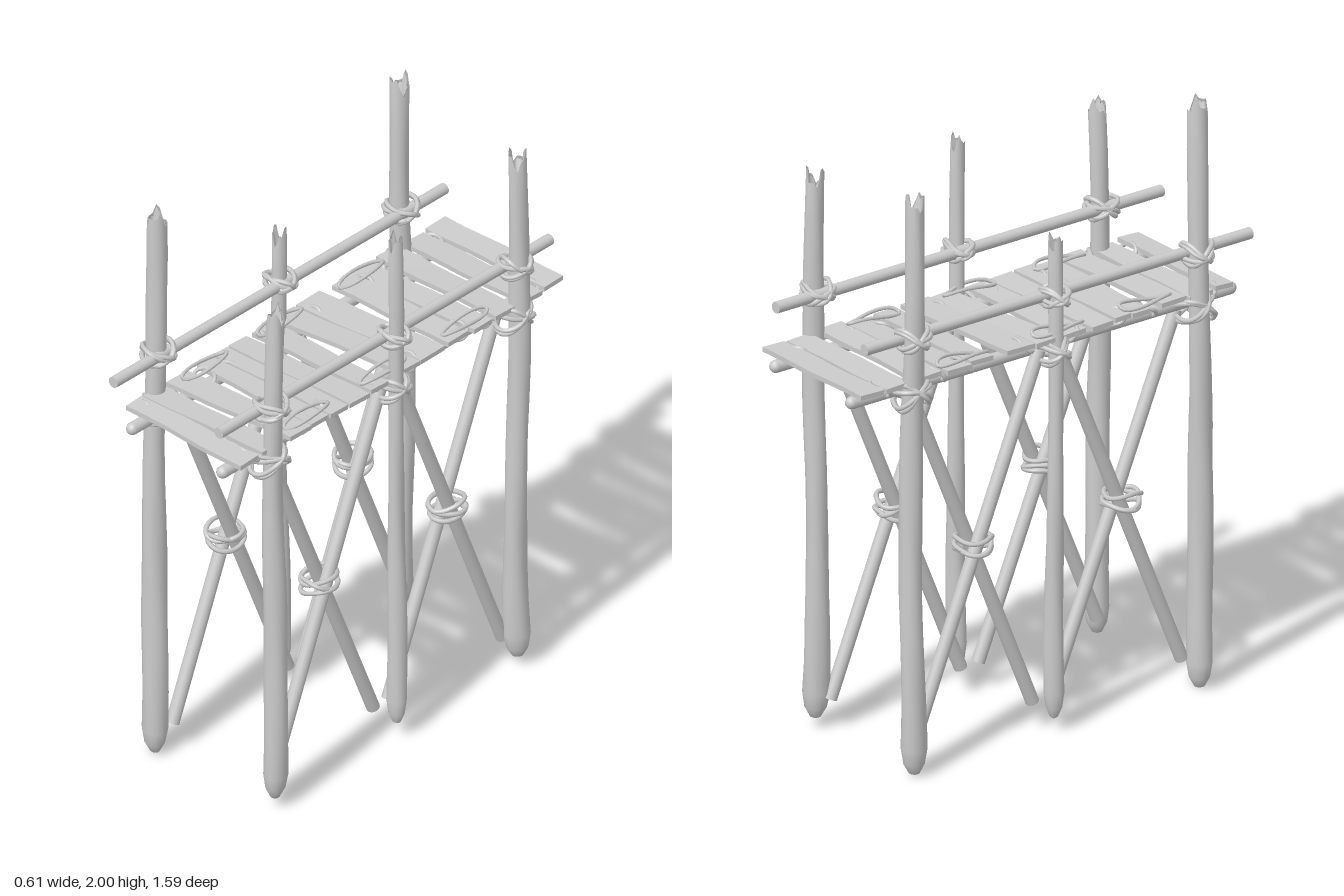
import * as THREE from 'three';
import { mergeVertices } from 'three/addons/utils/BufferGeometryUtils.js';

const wood = new THREE.MeshStandardMaterial({ color: 0xcccccc, roughness: 0.9 });
const woodThin = new THREE.MeshStandardMaterial({ color: 0xcccccc, roughness: 0.9, side: THREE.DoubleSide });
const V = (x, y, z) => new THREE.Vector3(x, y, z);

// small seeded generator
let seed = 7;
const rand = () => (seed = (seed * 16807) % 2147483647) / 2147483647;

export function createModel() {
  const model = new THREE.Group();
  const add = (name, geometry, material = wood) => {
    const mesh = new THREE.Mesh(geometry, material);
    mesh.name = name;
    model.add(mesh);
    return mesh;
  };

  // Rough trunk: rounded foot, slight wobble, splintered hollow top
  function post(name, x, z, y0, y1, r0, r1) {
    const h = y1 - y0, rim = h - 0.05, profile = [[0, 0], [r0 * 0.4, 0.008], [r0 * 0.8, 0.04], [r0, 0.09]];
    for (let i = 1; i <= 14; i++) {
      const t = i / 14;
      profile.push([r0 + (r1 - r0) * Math.pow(t, 0.7), 0.09 + (rim - 0.09) * t]);
    }
    profile.push([r1 * 0.72, rim - 0.008], [r1 * 0.45, rim - 0.05], [0, rim - 0.06]);
    let g = new THREE.LatheGeometry(profile.map(p => new THREE.Vector2(...p)), 16);
    g.deleteAttribute('uv');
    g.deleteAttribute('normal');
    g = mergeVertices(g, 1e-5);
    const p = g.attributes.position, k = rand() * 6;
    for (let i = 0; i < p.count; i++) {
      const px = p.getX(i), y = p.getY(i), pz = p.getZ(i), a = Math.atan2(pz, px);
      const bump = 1 + 0.06 * Math.sin(2 * a + y * 5 + k) + 0.04 * Math.sin(3 * a - y * 11 + k);
      const atRim = y > rim - 0.02 && Math.hypot(px, pz) > r1 * 0.6;
      const jag = atRim ? 0.015 + 0.025 * Math.sin(2 * a + k) + 0.015 * Math.sin(5 * a + k * 2) : 0;
      p.setXYZ(i, px * bump + 0.005 * Math.sin(y * 4 + k), y + jag, pz * bump + 0.006 * Math.sin(y * 3 + k * 2));
    }
    g.computeVertexNormals();
    add(name, g, woodThin).position.set(x, y0, z);
  }
  post('frontRightPost', -0.245, 0.58, 0.0, 2.0, 0.044, 0.031);
  post('frontLeftPost', 0.25, 0.57, 0.03, 1.84, 0.042, 0.029);
  post('middleRightPost', -0.24, 0.008, 0.04, 1.68, 0.032, 0.022);
  post('middleLeftPost', 0.25, 0.005, 0.05, 1.86, 0.032, 0.022);
  post('backRightPost', -0.245, -0.565, 0.0, 1.97, 0.042, 0.031);
  post('backLeftPost', 0.25, -0.56, 0.03, 1.9, 0.042, 0.03);

  // Straight round pole between two points
  function pole(name, a, b, r) {
    const d = b.clone().sub(a);
    const m = add(name, new THREE.CylinderGeometry(r, r, d.length(), 14));
    m.position.copy(a).addScaledVector(d, 0.5);
    m.quaternion.setFromUnitVectors(V(0, 1, 0), d.normalize());
  }

  // Hand-tied rope turn: a wobbly closed ellipse, tilted about x and z
  function rope(name, c, ra, rb, tiltX, tiltZ = 0, r = 0.008) {
    const pts = [], k = rand() * 6, e = new THREE.Euler(tiltX, 0, tiltZ);
    for (let i = 0; i < 16; i++) {
      const a = (i / 16) * Math.PI * 2, w = 1 + 0.07 * Math.sin(3 * a + k);
      pts.push(V(Math.cos(a) * ra * w, 0.007 * Math.sin(2 * a + k), Math.sin(a) * rb * w).applyEuler(e).add(c));
    }
    add(name, new THREE.TubeGeometry(new THREE.CatmullRomCurve3(pts, true), 40, r, 6, true));
  }

  for (const s of [-1, 1]) {
    const side = s > 0 ? 'left' : 'right';

    // Handrail and deck beam
    pole(side + 'Handrail', V(s * 0.222, 1.472, 0.8), V(s * 0.222, 1.472, -0.74), 0.019);
    const beam = new THREE.CapsuleGeometry(0.021, 1.51, 5, 12);
    beam.rotateX(Math.PI / 2);
    add(side + 'DeckBeam', beam).position.set(s * 0.19, 1.291, -0.01);

    // Crossed braces in both bays, tied where they meet
    for (const [zOut, zIn, zMid] of [[0.535, 0.035, 0.305], [-0.53, -0.035, -0.285]]) {
      pole(side + 'BraceOuter', V(s * 0.212, 0.1, zOut), V(s * 0.212, 1.29, zIn), 0.022);
      pole(side + 'BraceInner', V(s * 0.18, 0.09, zIn), V(s * 0.18, 1.27, zOut), 0.022);
      for (const [dy, tilt] of [[0.018, 0.12], [0, -0.18], [-0.02, 0.1]])
        rope(side + 'BraceLashing', V(s * 0.2, 0.695 + dy, zMid), 0.056, 0.06, tilt, tilt * s);
    }

    // Crossed lashings at each post, around the handrail and the beam
    for (const [z, r] of [[0.575, 0.052], [0.005, 0.042], [-0.56, 0.052]]) {
      for (const tilt of [0.6, -0.6, 0.4, -0.35]) {
        rope(side + 'HandrailLashing', V(s * 0.24, 1.472, z), 0.054, r, tilt, 0.1 * tilt);
        rope(side + 'BeamLashing', V(s * 0.228, 1.278, z), 0.062, r + 0.012, tilt * 1.1, 0.25 * s);
      }
    }

    // Slanted ties binding plank ends to the beams
    for (const z of [0.64, 0.4, 0.28, 0.09, -0.09, -0.33, -0.44, -0.66])
      rope(side + 'PlankTie', V(s * 0.2, 1.313, z), 0.04, 0.032, Math.PI / 2 + (z * 10 % 2 > 0 ? 0.9 : -0.9), 0, 0.007);
    for (const z of [0.38, 0.03, -0.35])
      rope(side + 'PlankCoil', V(s * 0.215, 1.346, z), 0.025, 0.1, 0.03, 0, 0.006);
  }

  // Uneven deck planks: [back, front] edge depth at the right end, then at the left end
  const planks = [
    [-0.78, -0.69, -0.77, -0.68], [-0.675, -0.58, -0.665, -0.575], [-0.555, -0.455, -0.54, -0.45],
    [-0.43, -0.335, -0.44, -0.355], [-0.335, -0.245, -0.325, -0.235], [-0.19, -0.08, -0.215, -0.105],
    [-0.075, 0.02, -0.105, -0.015], [0.03, 0.125, 0.05, 0.13], [0.15, 0.235, 0.14, 0.23],
    [0.245, 0.305, 0.24, 0.32], [0.31, 0.38, 0.325, 0.405], [0.43, 0.53, 0.41, 0.505],
    [0.54, 0.63, 0.545, 0.625], [0.64, 0.71, 0.655, 0.74],
  ];
  planks.forEach(([rb, rf, lb, lf], n) => {
    const x0 = -0.245 - rand() * 0.01, x1 = 0.25 + rand() * 0.012, lift = rand() * 0.008, tip = (rand() - 0.5) * 0.08;
    const g = new THREE.BoxGeometry(1, 0.016, 1, 6, 1, 1), p = g.attributes.position;
    for (let i = 0; i < p.count; i++) {
      const t = p.getX(i) + 0.5, u = p.getZ(i) + 0.5;
      const back = rb + (lb - rb) * t, front = rf + (lf - rf) * t;
      const z = back + (front - back) * u + 0.003 * Math.sin(t * 9 + n * 2 + u);
      p.setXYZ(i, x0 + (x1 - x0) * t, 1.323 + lift + p.getY(i) + (u - 0.5) * tip * 0.1, z);
    }
    g.computeVertexNormals();
    add('deckPlank', g);
  });

  return model;
}
